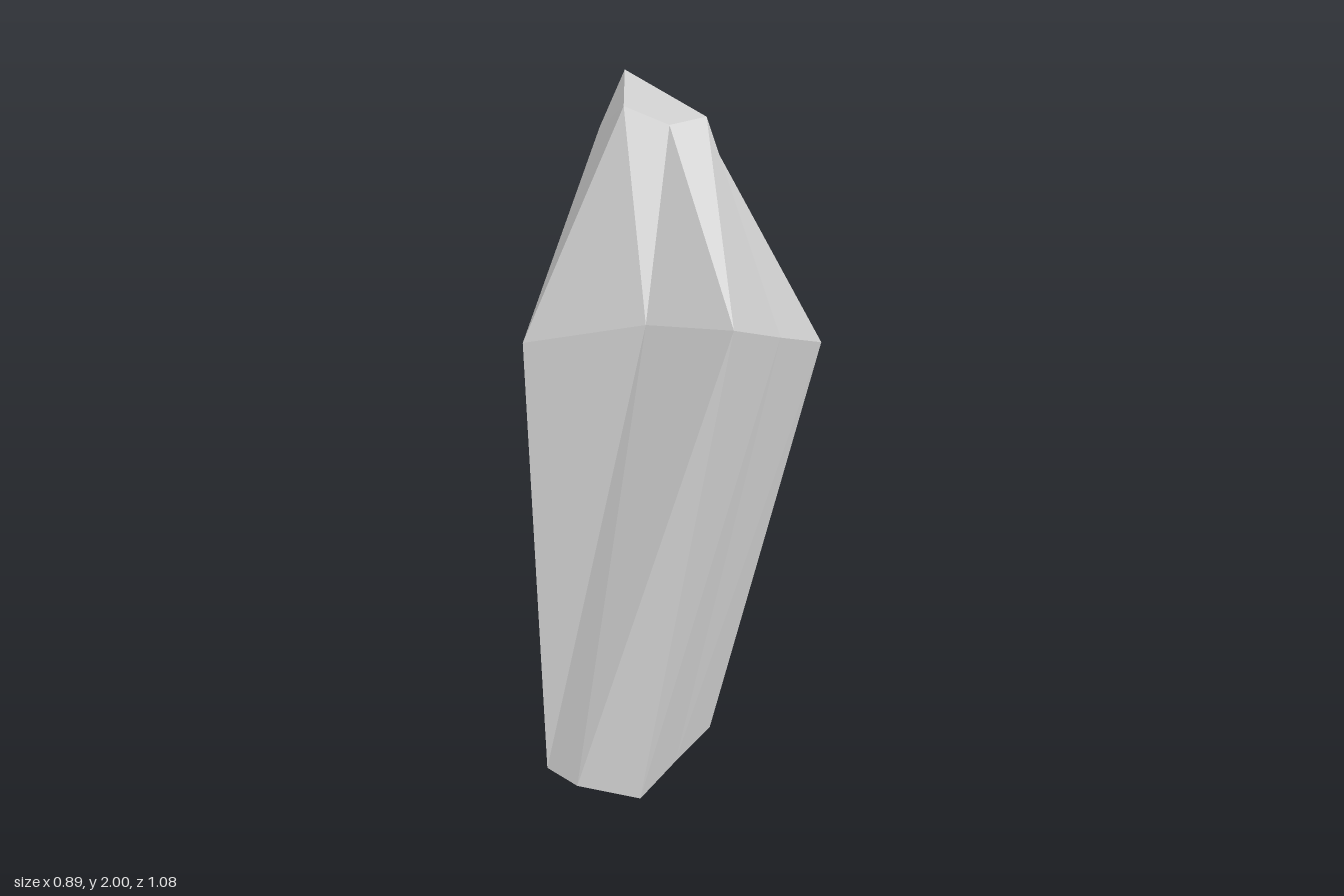
import * as THREE from 'three';

// Eight-sided rings, counter-clockwise seen from above, starting at the left corner
const baseRing = [
  [-0.33, 0, 0.44], [-0.22, 0, 0.51], [-0.015, 0, 0.54], [0.07, 0, 0.355],
  [0.16, 0, 0.17], [0.04, 0, 0.09], [-0.14, 0, 0.07], [-0.35, 0, 0.245],
];
const shoulderRing = [
  [-0.45, 1.28, -0.01], [-0.06, 1.4, 0.06], [0.21, 1.45, 0.165], [0.33, 1.325, -0.062],
  [0.445, 1.205, -0.29], [0.18, 1.13, -0.36], [-0.21, 1.03, -0.46], [-0.33, 1.15, -0.24],
];
const tipRing = [
  [-0.26, 1.855, -0.35], [-0.175, 1.945, -0.29], [-0.035, 1.9, -0.27], [0.065, 1.9, -0.36],
  [0.065, 1.8, -0.46], [-0.02, 1.745, -0.535], [-0.16, 1.755, -0.54], [-0.285, 1.78, -0.48],
];
const apex = [-0.2, 2, -0.47];

// Joins the rings with side facets and closes both ends with fans
function crystalGeometry(rings, top) {
  const positions = [];
  const tri = (a, b, c) => positions.push(...a, ...b, ...c);
  const first = rings[0], last = rings[rings.length - 1], n = first.length;
  for (let i = 0; i < n; i++) {
    const j = (i + 1) % n;
    for (let r = 0; r < rings.length - 1; r++) {
      const lo = rings[r], hi = rings[r + 1];
      tri(lo[i], lo[j], hi[j]);
      tri(lo[i], hi[j], hi[i]);
    }
    tri(last[i], last[j], top);
    if (i > 0 && i < n - 1) tri(first[0], first[j], first[i]);
  }
  const geometry = new THREE.BufferGeometry();
  geometry.setAttribute('position', new THREE.Float32BufferAttribute(positions, 3));
  geometry.computeVertexNormals();
  return geometry;
}

export function createModel() {
  const group = new THREE.Group();
  group.name = 'crystal';
  // Leaning faceted shard
  const shard = new THREE.Mesh(
    crystalGeometry([baseRing, shoulderRing, tipRing], apex),
    new THREE.MeshStandardMaterial({ color: 0xcccccc, flatShading: true })
  );
  shard.name = 'crystalShard';
  group.add(shard);
  return group;
}
